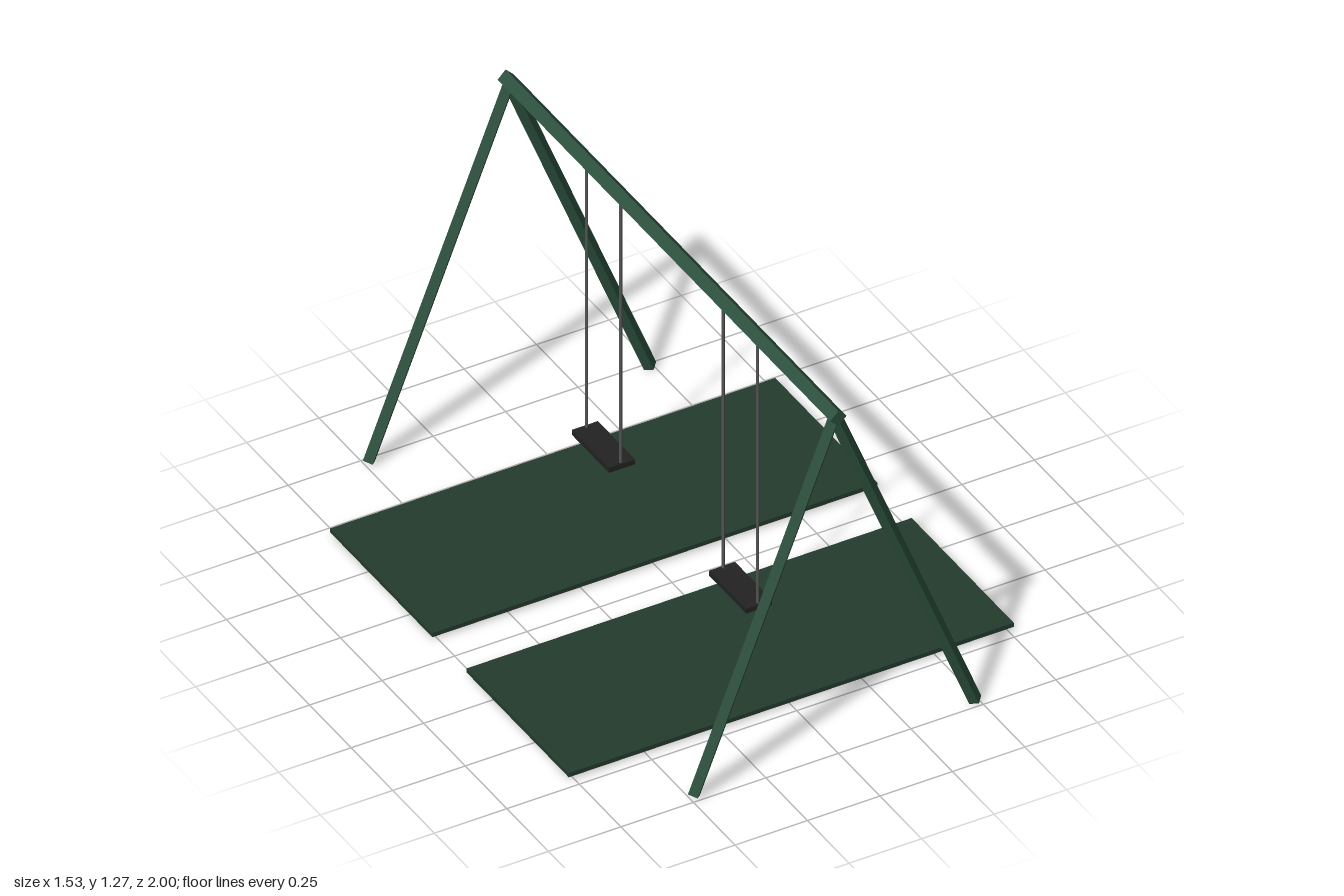
import * as THREE from 'three';

const flat = (name, color) => {
  const m = new THREE.MeshStandardMaterial({ color, flatShading: true });
  m.name = name;
  return m;
};

export function createModel() {
  const frameGreen = flat('frame green', 0x2b4f3c);
  const matGreen = flat('mat green', 0x233b2d);
  const seatBlack = flat('seat black', 0x222222);
  const ropeGrey = flat('rope grey', 0x555555);

  const model = new THREE.Group();
  model.name = 'swingSet';

  const add = (parent, name, geometry, material, x, y, z) => {
    const mesh = new THREE.Mesh(geometry, material);
    mesh.name = name;
    mesh.position.set(x, y, z);
    parent.add(mesh);
    return mesh;
  };

  // Straight bar between two points, square section with its corners on the axes
  const bar = (parent, name, a, b, radius, sides, material) => {
    const dir = b.clone().sub(a);
    const mid = a.clone().add(b).multiplyScalar(0.5);
    const mesh = add(parent, name, new THREE.CylinderGeometry(radius, radius, dir.length(), sides),
      material, mid.x, mid.y, mid.z);
    mesh.quaternion.setFromUnitVectors(new THREE.Vector3(0, 1, 0), dir.normalize());
  };
  const v = (x, y, z) => new THREE.Vector3(x, y, z);

  // Top beam
  bar(model, 'topBeam', v(0, 1.239, -1), v(0, 1.239, 1), 0.028, 4, frameGreen);

  for (const end of [1, -1]) {
    // A-frame legs at each end
    for (const side of [1, -1]) {
      const z = end * 0.977;
      bar(model, `${end > 0 ? 'front' : 'back'}${side > 0 ? 'Left' : 'Right'}Leg`,
        v(side * 0.485, 0.008, z), v(0, 1.235, z), 0.0225, 4, frameGreen);
    }

    // Hanging swing: seat and two ropes
    const swing = new THREE.Group();
    swing.name = end > 0 ? 'frontSwing' : 'backSwing';
    model.add(swing);
    add(swing, 'seat', new THREE.BoxGeometry(0.09, 0.018, 0.224), seatBlack, 0, 0.241, end * 0.412);
    for (const z of [0.309, 0.514]) {
      bar(swing, 'rope', v(0, 0.24, end * z), v(0, 1.235, end * z), 0.005, 6, ropeGrey);
    }

    // Safety mat below the swing
    add(model, end > 0 ? 'frontMat' : 'backMat', new THREE.BoxGeometry(1.535, 0.015, 0.614),
      matGreen, 0, 0.018, end * 0.41);
  }
  return model;
}
